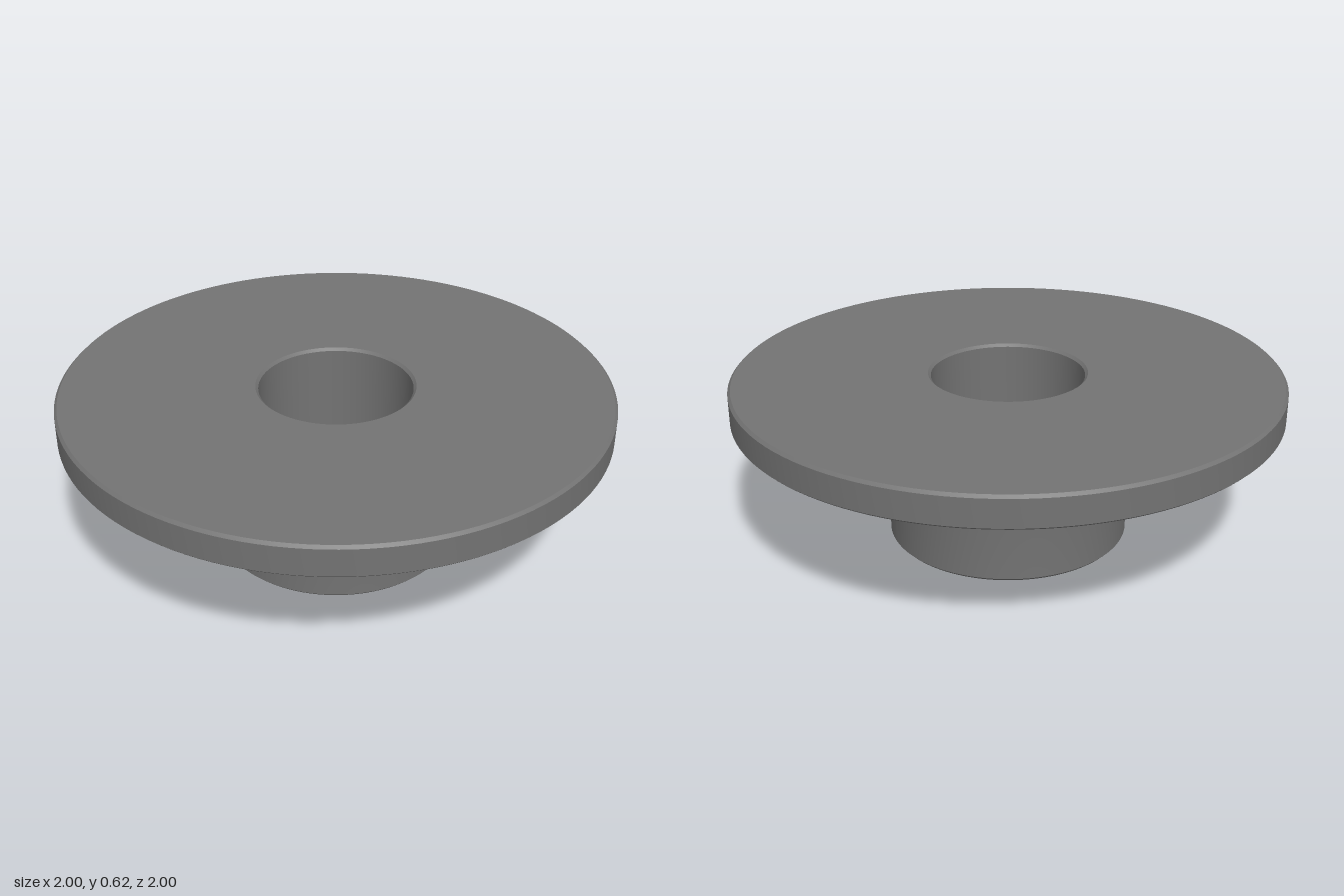
import * as THREE from 'three';
import { toCreasedNormals } from 'three/addons/utils/BufferGeometryUtils.js';

export function createModel() {
  const group = new THREE.Group();
  group.name = 'flangedBushing';
  const metal = new THREE.MeshStandardMaterial({ color: 0x737373 });
  metal.name = 'grey metal';

  const bore = 0.28, hub = 0.445, rim = 1, height = 0.62, bevel = 0.01;
  const v = (x, y) => new THREE.Vector2(x, y);

  // Flared underside, sweeping from the hub wall out to the rim
  const flare = new THREE.CubicBezierCurve(
    v(hub, 0.25), v(hub, 0.36), v(0.72, 0.44), v(rim - 0.006, 0.505));

  // Closed cross-section: hub foot, flare, rim, top face, bore
  const profile = [
    v(bore, bevel),
    v(bore + bevel, 0),
    v(hub - bevel, 0),
    v(hub, bevel),
    ...flare.getPoints(24),
    v(rim, 0.511),
    v(rim, height - bevel),
    v(rim - bevel, height),
    v(bore + bevel, height),
    v(bore, height - bevel),
    v(bore, bevel),
  ];

  const body = new THREE.Mesh(
    toCreasedNormals(new THREE.LatheGeometry(profile, 128), 0.5), metal);
  body.name = 'flangedBody';
  group.add(body);
  return group;
}
